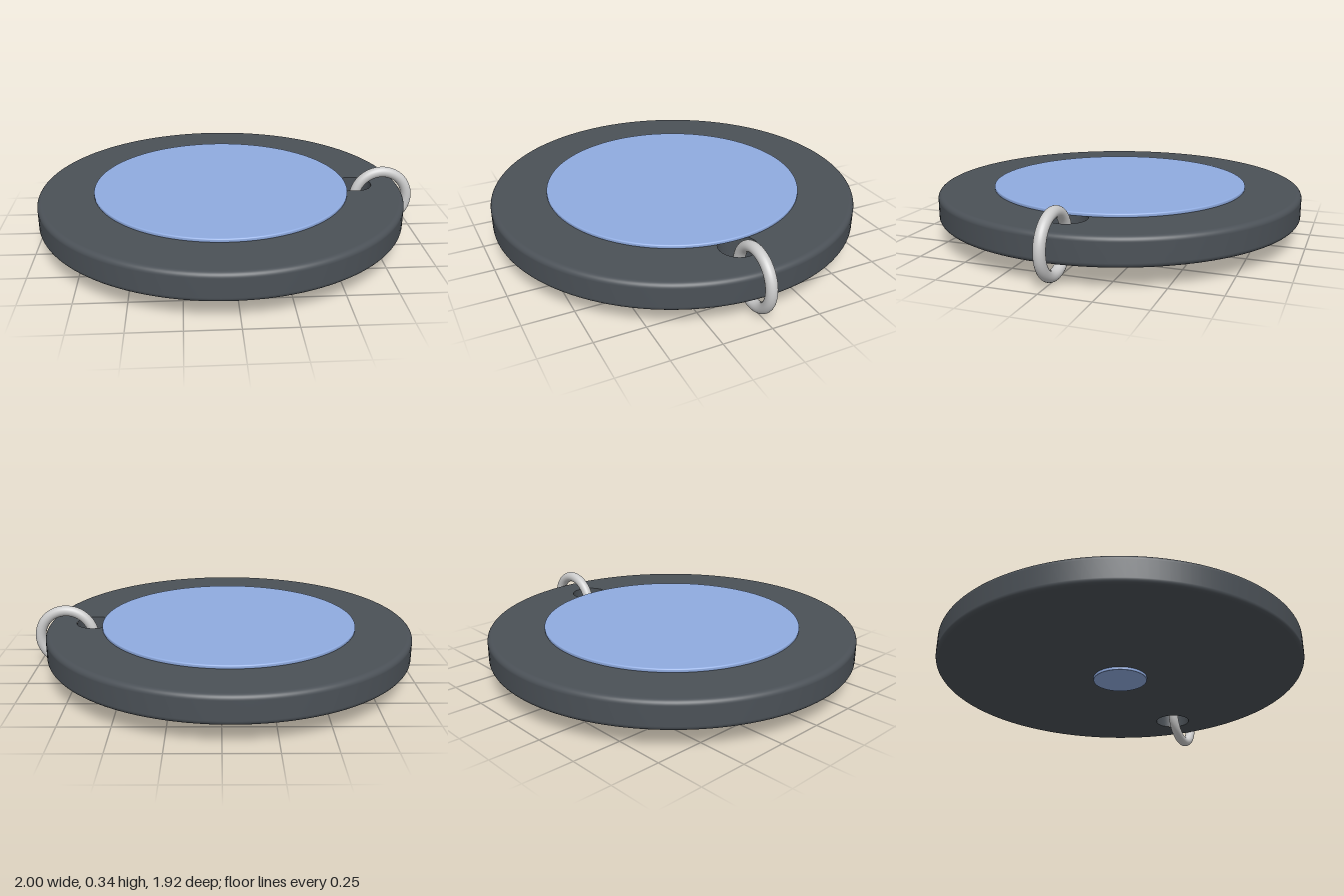
import * as THREE from 'three';

const CX = -0.04; // centre of the disc
const mat = (color) => new THREE.MeshStandardMaterial({ color });

function addMesh(parent, name, geometry, material, x = 0, y = 0) {
  const mesh = new THREE.Mesh(geometry, material);
  mesh.name = name;
  mesh.position.set(x, y, 0);
  parent.add(mesh);
  return mesh;
}

// Rounded edge profile, from the bottom face round to the top face
function edgeProfile(radius, y0, y1, round) {
  const points = [];
  for (const [cy, start] of [[y0 + round, -Math.PI / 2], [y1 - round, 0]]) {
    for (let i = 0; i <= 8; i++) {
      const a = start + (i / 8) * Math.PI / 2;
      points.push(new THREE.Vector2(radius - round + Math.cos(a) * round, cy + Math.sin(a) * round));
    }
  }
  return points;
}

// Solid thin disc with softly rounded edges
function padGeometry(radius, y0, y1, round) {
  const points = edgeProfile(radius, y0, y1, round);
  return new THREE.LatheGeometry(
    [new THREE.Vector2(0, y0), ...points, new THREE.Vector2(0, y1)], 96);
}

export function createModel() {
  const model = new THREE.Group();
  const dark = mat(0x4b5157);
  const blue = mat(0x8fabe0);
  const Y0 = 0.105, Y1 = 0.248, R = 0.96, ROUND = 0.025;
  const HOLE_X = 0.675, HOLE_R = 0.097;

  // Body: rounded rim, two pierced faces and the wall of the hole
  const body = new THREE.Group();
  body.name = 'body';
  body.position.x = CX;
  model.add(body);
  addMesh(body, 'rim', new THREE.LatheGeometry(edgeProfile(R, Y0, Y1, ROUND), 128), dark);

  const face = new THREE.Shape().absarc(0, 0, R - ROUND, 0, Math.PI * 2);
  face.holes.push(new THREE.Path().absarc(HOLE_X - CX, 0, HOLE_R, 0, Math.PI * 2, true));
  const faceGeometry = new THREE.ShapeGeometry(face, 64);
  addMesh(body, 'topFace', faceGeometry, dark, 0, Y1).rotation.x = -Math.PI / 2;
  addMesh(body, 'bottomFace', faceGeometry, dark, 0, Y0).rotation.x = Math.PI / 2;

  const wall = mat(0x4b5157);
  wall.side = THREE.DoubleSide;
  addMesh(body, 'holeWall', new THREE.CylinderGeometry(HOLE_R, HOLE_R, Y1 - Y0, 64, 1, true),
    wall, HOLE_X - CX, (Y0 + Y1) / 2);

  // Coloured inlay on top and small button underneath
  addMesh(model, 'topInlay', padGeometry(0.67, Y1 - 0.002, 0.266, 0.007), blue, CX);
  addMesh(model, 'bottomButton', padGeometry(0.142, 0.09, Y0 + 0.005, 0.003), blue, CX);

  // Ring threaded through the hole
  addMesh(model, 'keyRing', new THREE.TorusGeometry(0.143, 0.028, 24, 96), mat(0xcccccc), 0.829, 0.171);

  return model;
}
